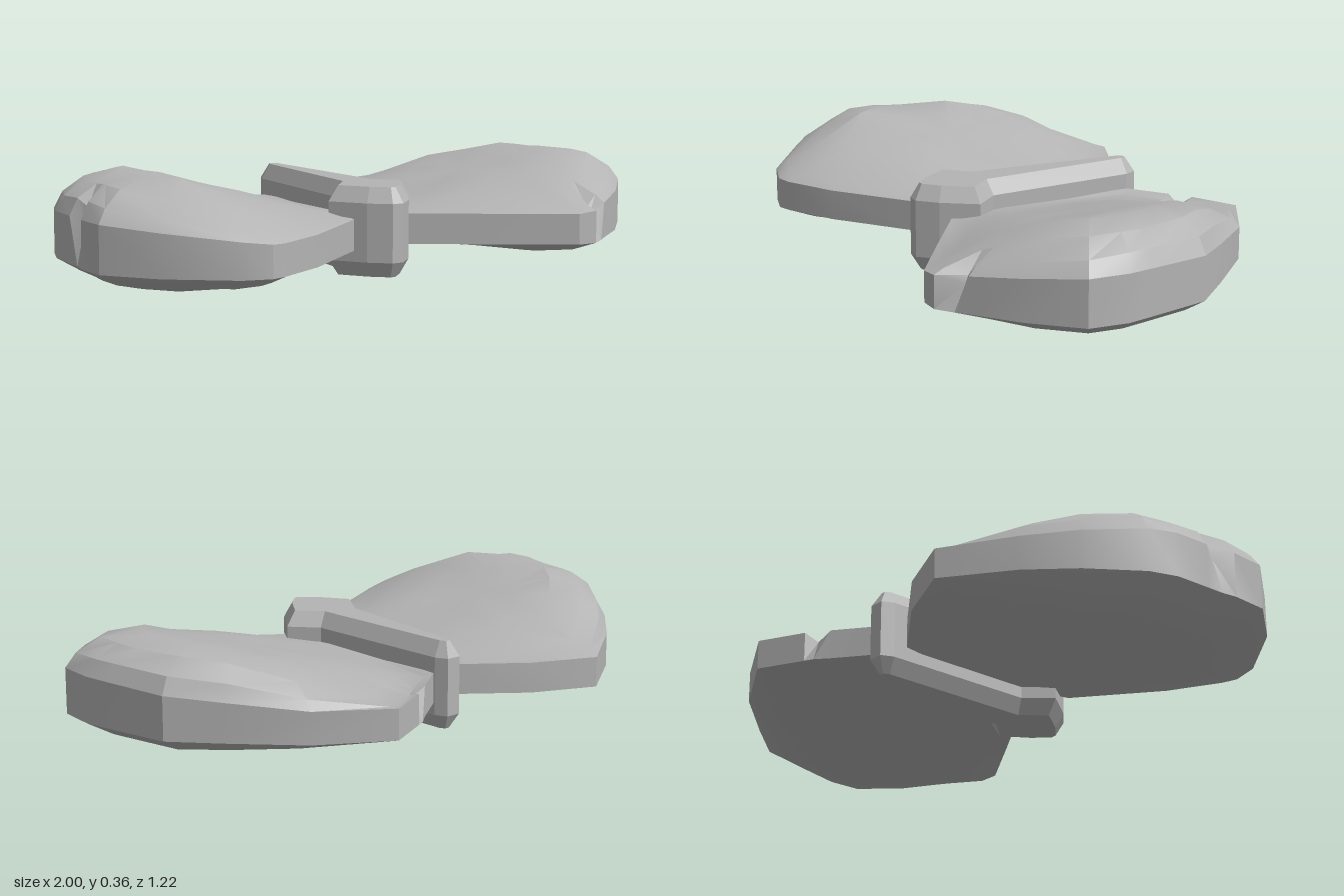
import * as THREE from 'three';
import { toCreasedNormals } from 'three/addons/utils/BufferGeometryUtils.js';

// Wing outlines seen from above, back to front: [distance from middle, z, chip depth]
const LEFT = [
  [0.05, -0.4], [0.17, -0.49], [0.21, -0.525, 0.12], [0.24, -0.54], [0.39, -0.615], [0.62, -0.48],
  [0.8, -0.3], [0.93, -0.16], [0.98, 0.05], [1.0, 0.14], [0.99, 0.27], [0.86, 0.41],
  [0.72, 0.52], [0.685, 0.55, 0.16], [0.63, 0.59], [0.56, 0.59], [0.35, 0.45], [0.1, 0.28],
  [0.05, 0.08], [0.04, -0.18],
];
const RIGHT = [
  [0.06, -0.36], [0.27, -0.52], [0.48, -0.61], [0.69, -0.46], [0.82, -0.33], [0.94, -0.17],
  [0.975, -0.08], [0.985, 0.04], [0.99, 0.1, 0.12], [1.0, 0.15], [1.0, 0.27], [0.88, 0.43],
  [0.69, 0.58], [0.6, 0.605], [0.55, 0.59], [0.38, 0.5], [0.12, 0.3],
  [0.05, 0.08], [0.04, -0.18],
];

// Cross-section from underside to top: [scale of outline, upper half?, share of full swell]
const RINGS = [
  [0.3, false, 1], [0.6, false, 0.95], [0.84, false, 0.55], [1, false, 0],
  [1, true, 0], [0.94, true, 0.45], [0.8, true, 0.82], [0.58, true, 1], [0.3, true, 1],
];

// Stone wing: thin at the body, swelling towards its outer edge
function wingGeometry(outline, side, peak) {
  const n = outline.length, pos = [], index = [];
  const lerp = THREE.MathUtils.lerp;
  const height = (x, z, upper, f) => {
    const t = Math.min(1, Math.max(0, (x - 0.1) / (peak - 0.1)));
    if (!upper) return lerp(0.09, 0.09 - 0.082 * t, f);
    const rim = 0.19 + 0.12 * Math.max(0, x - 0.58);
    const crown = 0.19 + 0.165 * t - 0.25 * Math.max(0, Math.abs(z) - 0.25);
    return lerp(rim, crown, f);
  };
  for (const [k, upper, f] of RINGS) {
    for (const [ox, oz, chip = 0] of outline) {
      const atEdge = upper && k > 0.9;
      const s = atEdge ? k - chip * (f ? 0.25 : 0.5) : k;
      const x = 0.5 + (ox - 0.5) * s, z = oz * s;
      const rough = upper && f > 0 ? 0.004 * Math.sin(13 * x + 17 * z) : 0;
      pos.push(side * x, height(x, z, upper, f) + rough - (atEdge ? chip * 0.2 : 0), z);
    }
  }
  const tri = (a, b, c) => (side > 0 ? index.push(a, b, c) : index.push(a, c, b));
  const bottom = RINGS.length * n, top = bottom + 1, last = bottom - n;
  pos.push(side * 0.5, height(0.5, 0, false, 1), 0, side * 0.5, height(0.5, 0, true, 1), 0);
  for (let i = 0; i < n; i++) {
    const j = (i + 1) % n;
    tri(bottom, i, j);
    tri(top, last + j, last + i);
    for (let r = 0; r < RINGS.length - 1; r++) {
      const a = r * n + i, b = r * n + j;
      tri(a, a + n, b);
      tri(b, a + n, b + n);
    }
  }
  const g = new THREE.BufferGeometry();
  g.setAttribute('position', new THREE.Float32BufferAttribute(pos, 3));
  g.setIndex(index);
  return toCreasedNormals(g, 0.42);
}

// Bevelled arrow-shaped bar between the wings
function bodyGeometry() {
  const half = [[0.025, -0.44], [0.045, -0.4], [0.08, 0.12], [0.155, 0.205], [0.08, 0.315], [0.02, 0.372]];
  const mirrored = half.map(([x, z]) => [-x, z]).reverse();
  const shape = new THREE.Shape([...half, ...mirrored].map(([x, z]) => new THREE.Vector2(x, z)));
  const g = new THREE.ExtrudeGeometry(shape, {
    depth: 0.19, bevelEnabled: true, bevelSegments: 1,
    bevelSize: 0.028, bevelOffset: -0.028, bevelThickness: 0.05,
  });
  g.rotateX(Math.PI / 2);
  g.translate(0, 0.24, 0);
  return g;
}

export function createModel() {
  const group = new THREE.Group();
  group.name = 'stoneButterfly';
  const stone = new THREE.MeshStandardMaterial({ color: 0xb4b4b4 });
  stone.name = 'grey stone';
  const add = (name, geometry) => {
    const mesh = new THREE.Mesh(geometry, stone);
    mesh.name = name;
    group.add(mesh);
  };
  add('leftWing', wingGeometry(LEFT, 1, 0.8));
  add('rightWing', wingGeometry(RIGHT, -1, 0.7));
  add('body', bodyGeometry());
  return group;
}
